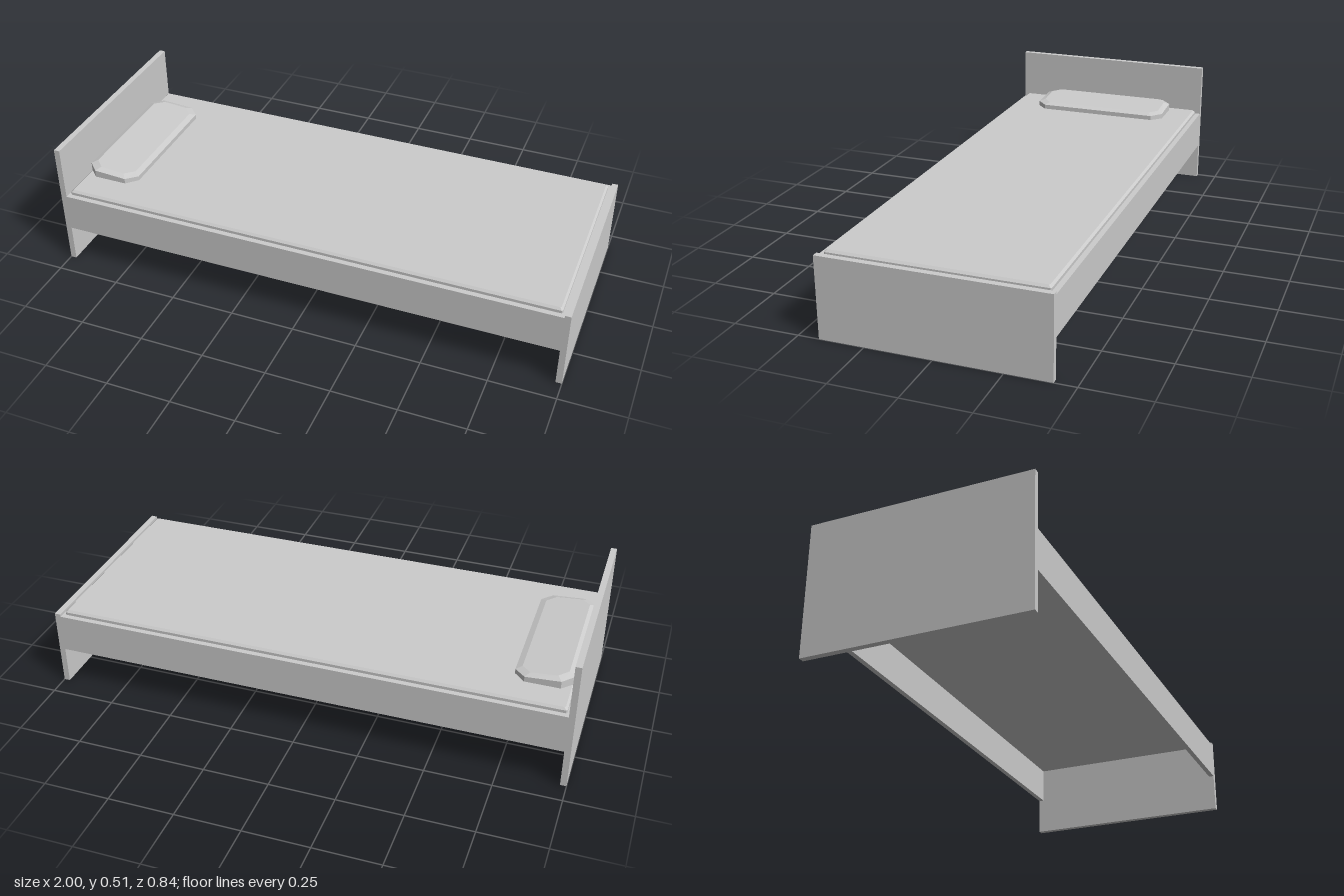
import * as THREE from 'three';

const material = new THREE.MeshStandardMaterial({ color: 0xcccccc, flatShading: true });

// Box given by its minimum and maximum corners
function slab(name, [x0, y0, z0], [x1, y1, z1]) {
  const mesh = new THREE.Mesh(new THREE.BoxGeometry(x1 - x0, y1 - y0, z1 - z0), material);
  mesh.position.set((x0 + x1) / 2, (y0 + y1) / 2, (z0 + z1) / 2);
  mesh.name = name;
  return mesh;
}

// Rectangle with cut corners, shrunk by inset, at heights given by y(x)
function ring(x0, x1, z0, z1, cut, inset, y) {
  const a = x0 + inset, b = x1 - inset, c = z0 + inset, d = z1 - inset;
  return [
    [a + cut, c], [a, c + cut], [a, d - cut], [a + cut, d],
    [b - cut, d], [b, d - cut], [b, c + cut], [b - cut, c],
  ].map(([x, z]) => [x, y(x), z]);
}

// Closed solid from rings stacked bottom to top
function loft(name, rings) {
  const n = rings[0].length, index = [], last = (rings.length - 1) * n;
  for (let r = 0; r < rings.length - 1; r++) {
    for (let i = 0; i < n; i++) {
      const a = r * n + i, b = r * n + (i + 1) % n;
      index.push(a, b, b + n, a, b + n, a + n);
    }
  }
  for (let i = 1; i < n - 1; i++) {
    index.push(0, i + 1, i, last, last + i, last + i + 1);
  }
  const geometry = new THREE.BufferGeometry();
  geometry.setAttribute('position', new THREE.Float32BufferAttribute(rings.flat(2), 3));
  geometry.setIndex(index);
  geometry.computeVertexNormals();
  const mesh = new THREE.Mesh(geometry, material);
  mesh.name = name;
  return mesh;
}

export function createModel() {
  const bed = new THREE.Group();
  bed.name = 'bed';

  // End boards reaching the floor
  bed.add(slab('headboard', [-1, 0, -0.42], [-0.977, 0.51, 0.42]));
  bed.add(slab('footboard', [0.977, 0, -0.42], [1, 0.31, 0.42]));

  // Side rails and the base panel between them
  bed.add(slab('leftRail', [-0.977, 0.15, 0.4], [0.977, 0.3, 0.42]));
  bed.add(slab('rightRail', [-0.977, 0.15, -0.42], [0.977, 0.3, -0.4]));
  bed.add(slab('basePanel', [-0.977, 0.296, -0.4], [0.977, 0.3, 0.4]));

  // Thin mattress with a bevelled top edge
  const mattress = (inset, y) => ring(-0.968, 0.966, -0.4, 0.4, 0.004, inset, () => y);
  bed.add(loft('mattress', [mattress(0, 0.299), mattress(0, 0.311), mattress(0.008, 0.319)]));

  // Pillow sloping down away from the headboard
  const slope = (head, foot) => (x) => head + (foot - head) * (x + 0.965) / 0.21;
  const pillow = (cut, inset, y) => ring(-0.965, -0.755, -0.29, 0.282, cut, inset, y);
  bed.add(loft('pillow', [
    pillow(0.04, 0, () => 0.305),
    pillow(0.04, 0, slope(0.35, 0.337)),
    pillow(0.034, 0.022, slope(0.361, 0.343)),
  ]));
  return bed;
}
